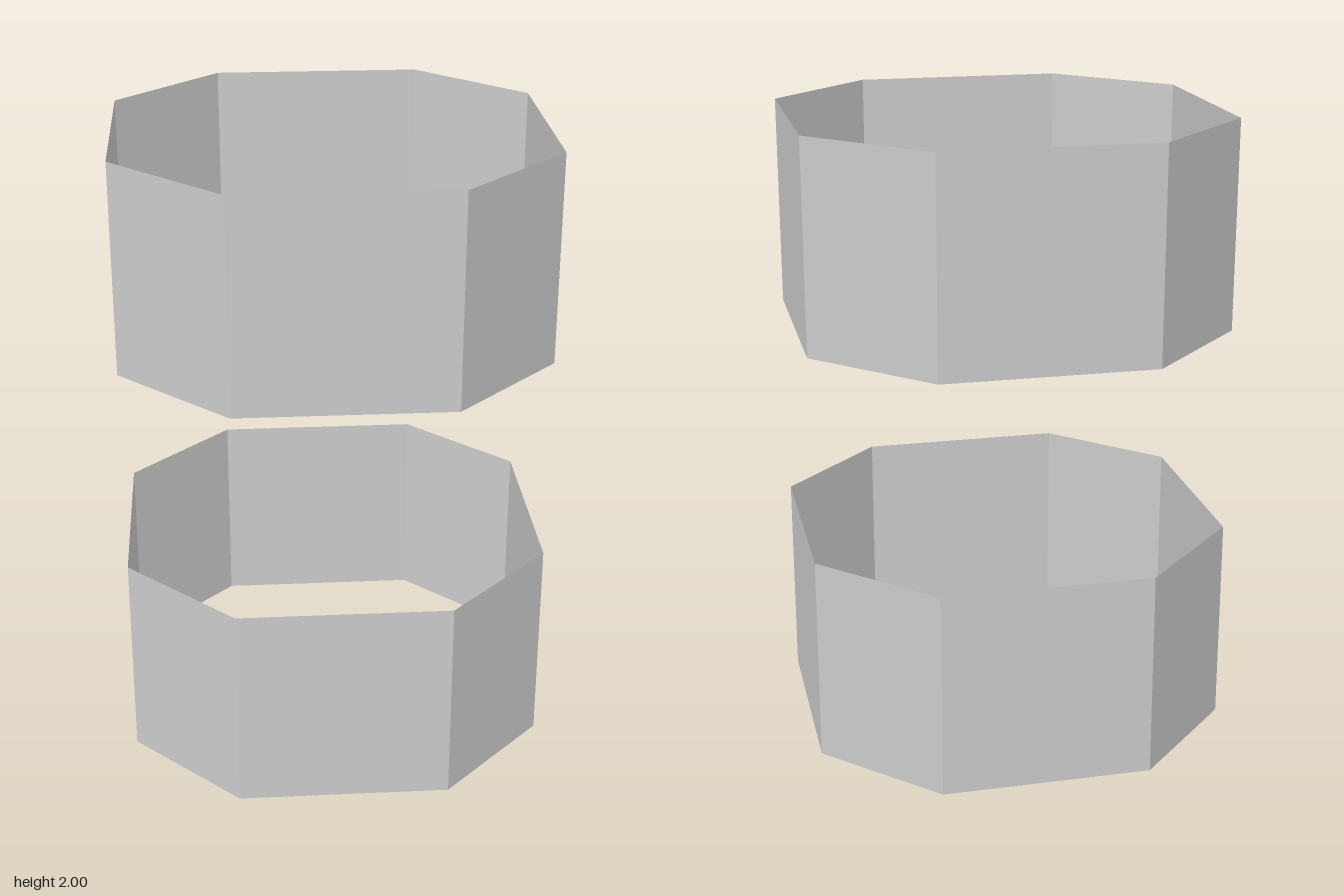
import * as THREE from 'three';

const UNIT = 2 / 3; // ring height, half-width and the gap between the rings

// Open eight-sided band: a regular octagon with its corners snapped to a grid of
// half units, so the four axis-aligned sides are wider than the diagonal ones
function bandGeometry() {
  const band = new THREE.CylinderGeometry(0.72, 0.72, UNIT, 8, 1, true, Math.PI / 8);
  const pos = band.attributes.position;
  const snap = (v) => Math.round(v / (UNIT / 2)) * (UNIT / 2);
  for (let i = 0; i < pos.count; i++) {
    pos.setX(i, snap(pos.getX(i)));
    pos.setZ(i, snap(pos.getZ(i)));
  }
  const flat = band.toNonIndexed();
  flat.computeVertexNormals();
  return flat;
}

export function createModel() {
  const model = new THREE.Group();
  model.name = 'octagonalRings';
  const material = new THREE.MeshStandardMaterial({
    color: 0xcccccc,
    flatShading: true,
    side: THREE.DoubleSide,
  });
  const geometry = bandGeometry();

  // Two identical rings, one unit apart
  ['lowerRing', 'upperRing'].forEach((name, i) => {
    const ring = new THREE.Mesh(geometry, material);
    ring.name = name;
    ring.position.y = UNIT / 2 + i * 2 * UNIT;
    model.add(ring);
  });
  return model;
}
